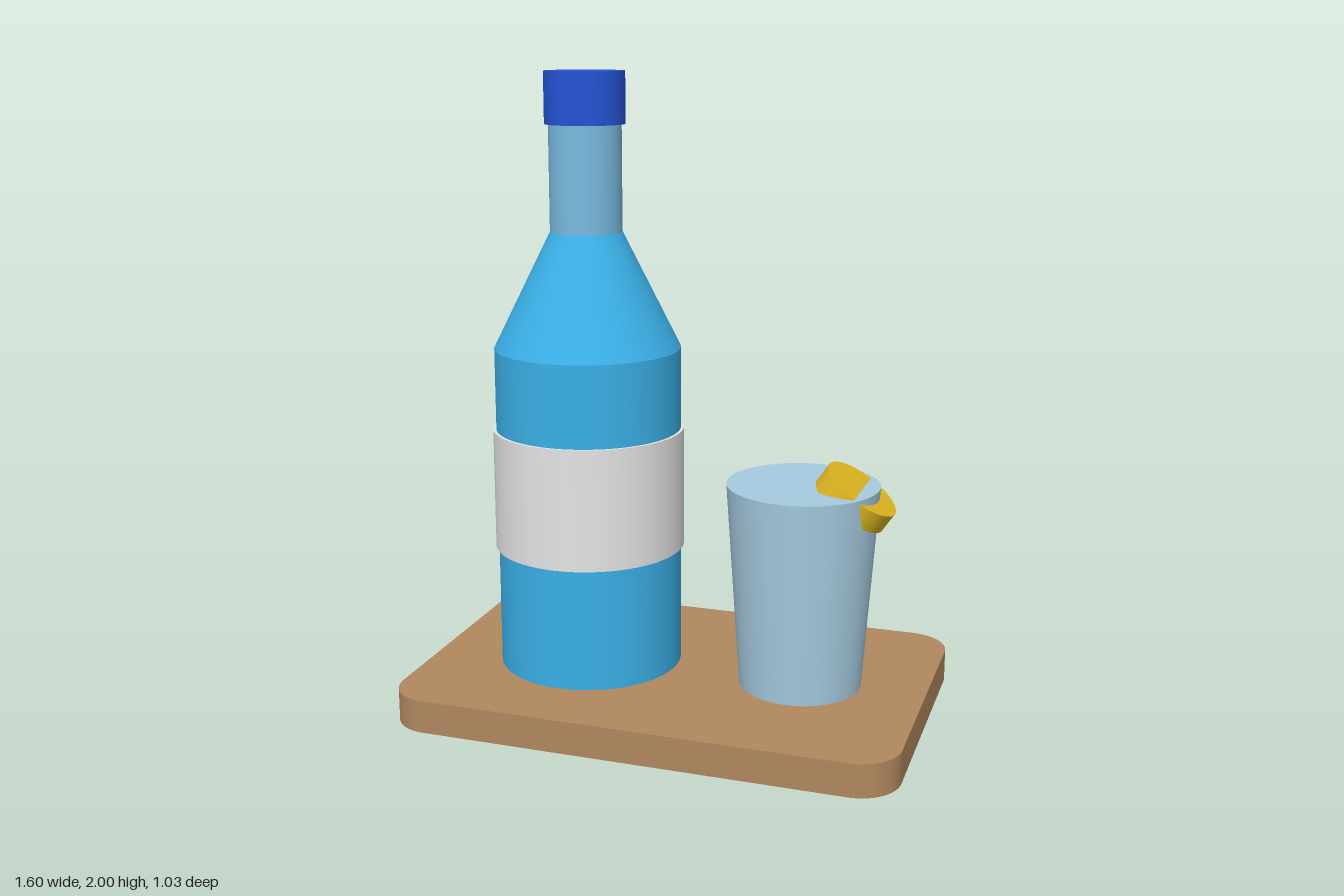
import * as THREE from 'three';

function material(name, color) {
  const m = new THREE.MeshStandardMaterial({ color });
  m.name = name;
  return m;
}

export function createModel() {
  const wood = material('wood', 0xb0885e);
  const bottleBlue = material('bottle blue', 0x3bb2ea);
  const neckBlue = material('neck blue', 0x7abbe0);
  const capBlue = material('cap blue', 0x2454d6);
  const paper = material('label paper', 0xe4e4e4);
  const glass = material('glass', 0xa6cbe0);
  const lemon = material('lemon', 0xe0b822);

  const model = new THREE.Group();
  model.name = 'bottleAndGlassOnBoard';

  // Upright round part spanning y0..y1
  function round(parent, name, mat, rBottom, rTop, y0, y1) {
    const mesh = new THREE.Mesh(new THREE.CylinderGeometry(rTop, rBottom, y1 - y0, 64), mat);
    mesh.name = name;
    mesh.position.y = (y0 + y1) / 2;
    parent.add(mesh);
    return mesh;
  }

  // Serving board with rounded corners
  const w = 0.8, d = 0.517, r = 0.13, boardTop = 0.105;
  const outline = new THREE.Shape();
  outline.absarc(w - r, d - r, r, 0, Math.PI / 2);
  outline.absarc(-w + r, d - r, r, Math.PI / 2, Math.PI);
  outline.absarc(-w + r, -d + r, r, Math.PI, Math.PI * 1.5);
  outline.absarc(w - r, -d + r, r, Math.PI * 1.5, Math.PI * 2);
  const boardGeometry = new THREE.ExtrudeGeometry(outline, {
    depth: boardTop, bevelEnabled: false, curveSegments: 12,
  });
  boardGeometry.rotateX(-Math.PI / 2);
  const board = new THREE.Mesh(boardGeometry, wood);
  board.name = 'board';
  model.add(board);

  // Bottle
  const bottle = new THREE.Group();
  bottle.name = 'bottle';
  bottle.position.x = -0.308;
  round(bottle, 'body', bottleBlue, 0.295, 0.295, boardTop, 1.145);
  round(bottle, 'shoulder', bottleBlue, 0.295, 0.113, 1.145, 1.51);
  round(bottle, 'neck', neckBlue, 0.113, 0.113, 1.51, 1.84);
  round(bottle, 'cap', capBlue, 0.125, 0.125, 1.84, 2);
  round(bottle, 'label', paper, 0.305, 0.305, 0.498, 0.885);
  model.add(bottle);

  // Tapered drinking glass
  const tumbler = new THREE.Group();
  tumbler.name = 'tumbler';
  tumbler.position.x = 0.4;
  round(tumbler, 'glassBody', glass, 0.193, 0.238, boardTop, 0.757);
  model.add(tumbler);

  // Lemon slice tilted over the rim
  const slice = round(model, 'lemonSlice', lemon, 0.125, 0.125, 0.696, 0.764);
  slice.position.x = 0.565;
  slice.rotation.z = -0.6;

  return model;
}
